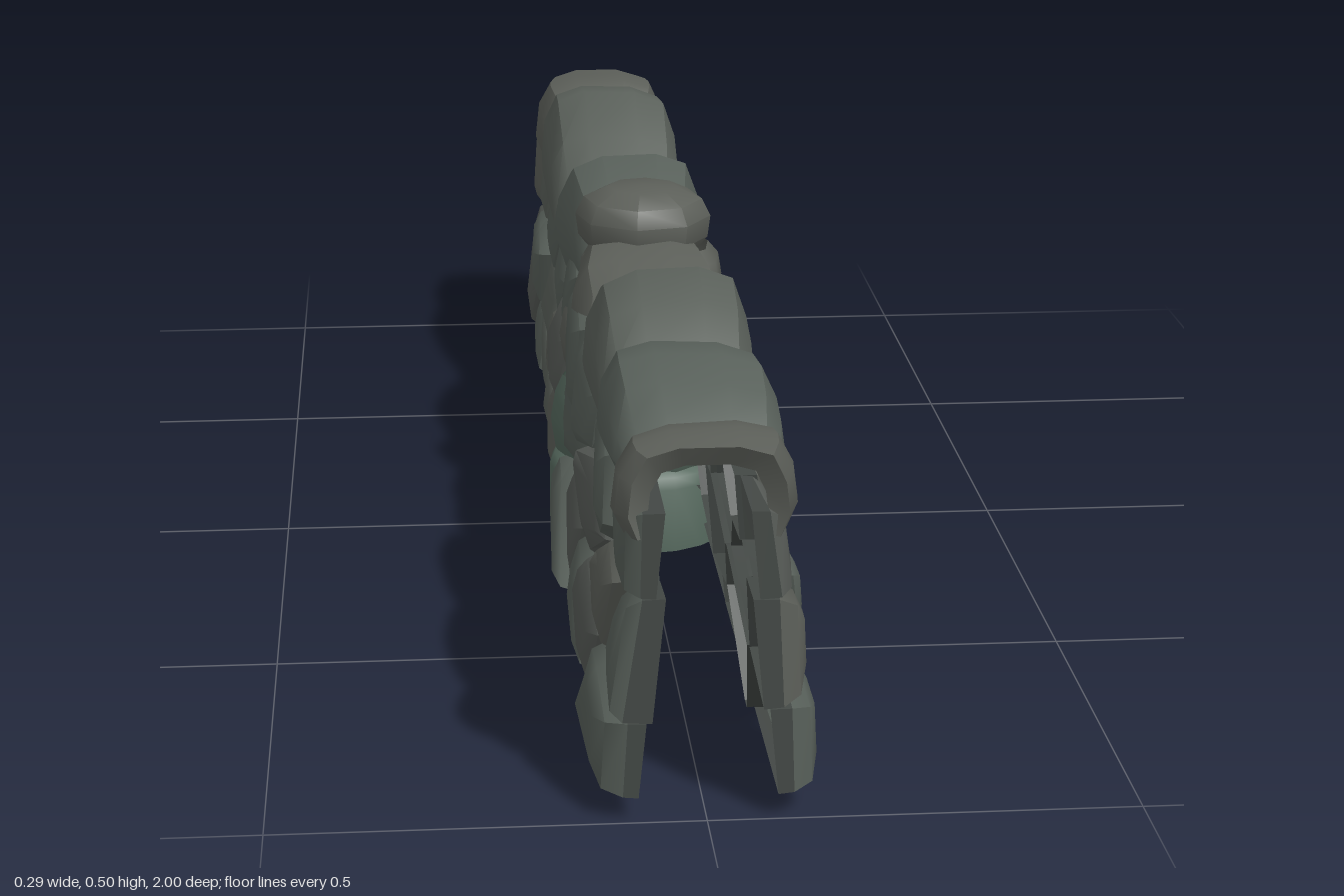
import * as THREE from 'three';
import { mergeVertices, toCreasedNormals } from 'three/addons/utils/BufferGeometryUtils.js';

const shades = [0x5a605a, 0x575f59, 0x5c5f59, 0x575b57, 0x59615b].map(
  color => new THREE.MeshStandardMaterial({ color, side: THREE.DoubleSide }));
const greenStone = new THREE.MeshStandardMaterial({ color: 0x55685d, side: THREE.DoubleSide });
const jointMaterial = new THREE.MeshStandardMaterial({ color: 0x434845, side: THREE.DoubleSide });

let seed = 7;
const rand = () => (seed = (seed * 16807) % 2147483647) / 2147483647;
const lerp = THREE.MathUtils.lerp;

// Skin a list of cross-sections, each an equal-length list of [x, y, z]
function skin(rows, closed, crease) {
  const pos = [], n = rows[0].length;
  for (let i = 0; i < rows.length - 1; i++) {
    for (let j = 0; j < (closed ? n : n - 1); j++) {
      const k = (j + 1) % n;
      const a = rows[i][j], b = rows[i][k], c = rows[i + 1][k], d = rows[i + 1][j];
      pos.push(...a, ...b, ...c, ...a, ...c, ...d);
    }
  }
  const g = new THREE.BufferGeometry();
  g.setAttribute('position', new THREE.Float32BufferAttribute(pos, 3));
  return toCreasedNormals(mergeVertices(g, 1e-5), crease);
}

function addMesh(group, name, geometry, material) {
  const mesh = new THREE.Mesh(geometry, material);
  mesh.name = name;
  group.add(mesh);
}

// Keep the part of a polygon where a*z + b*y <= c
function clip(poly, a, b, c) {
  const out = [];
  poly.forEach((p, i) => {
    const q = poly[(i + 1) % poly.length];
    const dp = a * p[0] + b * p[1] - c, dq = a * q[0] + b * q[1] - c;
    if (dp <= 0) out.push(p);
    if (dp * dq < 0) {
      const t = dp / (dp - dq);
      out.push([lerp(p[0], q[0], t), lerp(p[1], q[1], t)]);
    }
  });
  return out;
}

// Stone centres (z, y) for each face of the wall
const faces = {
  1: [[.95, .33], [.96, .2], [.9, .09], [.79, .34], [.83, .22], [.74, .13], [.62, .29], [.5, .17],
    [.56, .07], [.44, .31], [.33, .18], [.3, .29], [.25, .07], [.17, .16], [.16, .28], [-.16, .33],
    [-.27, .27], [-.4, .27], [-.15, .2], [-.3, .18], [-.2, .11], [-.24, .06], [-.36, .11], [-.56, .33],
    [-.6, .2], [-.45, .19], [-.5, .13], [-.45, .06], [-.62, .07], [-.73, .17], [-.8, .3], [-.82, .12],
    [-.78, .06], [-.95, .19], [-.95, .08], [-.94, .33]],
  [-1]: [[-.93, .32], [-.77, .32], [-.53, .3], [-.9, .13], [-.73, .19], [-.7, .07], [-.5, .17], [-.53, .08],
    [-.33, .27], [-.33, .15], [-.33, .06], [-.17, .23], [-.17, .1], [-.14, .33], [.13, .21], [.2, .06],
    [.17, .31], [.33, .12], [.5, .09], [.4, .31], [.5, .21], [.7, .3], [.67, .12], [.83, .22],
    [.87, .08], [.97, .2], [.93, .33]],
};

// Cell around one centre; heights are stretched so the stones lie flat and wide
function stoneOutline(sites, site, side) {
  const k = 3.4;
  let poly = [[-1, .03], [1, .03], [1, .37], [-1, .37]];
  for (const s of sites) {
    if (s === site) continue;
    const a = s[0] - site[0], b = (s[1] - site[1]) * k;
    poly = clip(poly, a, b, (a * (s[0] + site[0]) + b * (s[1] + site[1])) / 2);
  }
  // the left face stops at the pillar
  if (side > 0) poly = clip(poly, -Math.sign(site[0]), 0, -.09);
  // drop nearly coincident corners
  return poly.filter((p, i) => {
    const q = poly[(i + 1) % poly.length];
    return Math.hypot(p[0] - q[0], p[1] - q[1]) > .008;
  });
}

// Bulging stone shell on the inward-leaning wall plane, its edges turned deep into the wall
function addStone(group, poly, side) {
  const n = poly.length;
  const cz = poly.reduce((s, p) => s + p[0], 0) / n, cy = poly.reduce((s, p) => s + p[1], 0) / n;
  const bulge = .022 + .02 * rand(), tiltZ = (rand() - .5) * .14, tiltY = (rand() - .5) * .2;
  const depth = .014 + .014 * rand();
  const ring = (inset, out) => poly.map(([z, y]) => {
    const d = Math.hypot(z - cz, y - cy), f = 1 - Math.min(inset / d, inset > .03 ? .6 : .25);
    const zz = cz + (z - cz) * f, yy = cy + (y - cy) * f;
    const lean = .098 - .1 * (yy - .03);
    const tilt = out > 0 ? (zz - cz) * tiltZ + (yy - cy) * tiltY : 0;
    return [side * (lean + out + tilt), yy, zz];
  });
  const orient = rows => side > 0 ? rows : rows.map(r => r.slice().reverse());
  const rim = ring(.002, bulge * .1), shoulder = ring(.016, bulge * .72), face = ring(.055, bulge);
  const mid = face.reduce((s, p) => s.map((v, i) => v + p[i] / n), [0, 0, 0]);
  addMesh(group, 'stoneJoint', skin(orient([ring(0, -depth), rim]), true, .7), jointMaterial);
  addMesh(group, 'sideStone', skin(orient([rim, shoulder, face, face.map(() => mid)]), true, .95),
    shades[Math.floor(rand() * shades.length)]);
}

// Coping stones: start z, end z, underside at start and end, five crest heights
const copings = [
  [1, .88, .34, .33, [.445, .448, .448, .445, .435]],
  [.89, .61, .37, .33, [.44, .462, .476, .47, .445]],
  [.62, .27, .34, .31, [.435, .475, .495, .465, .39]],
  [.28, 0, .28, .33, [.37, .4, .422, .432, .43]],
  [0, -.45, .35, .29, [.43, .455, .48, .445, .385]],
  [-.44, -.84, .29, .33, [.38, .435, .483, .47, .445]],
  [-.83, -1, .31, .33, [.445, .45, .45, .445, .442]],
];

// Arched section, from one side over the crest to the other; slimmer beside the pillar
function arch(z, base, top, width, skew) {
  const h = top - base, w = width * (Math.abs(z) < .13 ? .9 : 1);
  return [[-.9, 0], [-1.02, .25], [-.97, .62], [-.78, .9], [-.38, 1], [.38, 1], [.8, .9], [.97, .6], [1.02, .25], [.9, 0]]
    .map(([x, y]) => [x * w, base + y * h, z + skew * x]);
}

function addCoping(group, [z0, z1, base0, base1, crest], index) {
  const skew = index % 2 ? .015 : -.012;
  const rows = crest.map((top, i) => {
    const t = [.06, .25, .5, .75, .94][i];
    const openEnd = (z0 === 1 && i === 0) || (z1 === -1 && i === 4);
    const z = openEnd ? Math.sign(z0 + z1) : lerp(z0, z1, t);
    const width = openEnd ? .088 : [.095, .101, .104, .101, .095][i];
    return arch(z, lerp(base0, base1, t), top, width, openEnd ? 0 : skew);
  });
  // inner ends run on into the joint, open ends curl inwards
  if (z0 === 1) rows.unshift(arch(.985, base0, .42, .066, 0));
  else rows.unshift(arch(z0 + .02, base0, crest[0] - .03, .084, skew));
  if (z1 === -1) rows.push(arch(-.985, base1, .42, .066, 0));
  else rows.push(arch(z1 - .02, base1, crest[4] - .03, .084, skew));
  addMesh(group, 'copingStone', skin(rows, false, .65), shades[[2, 4, 0][index % 3]]);
}

function addPillar(group) {
  // foot ring
  const foot = new THREE.LatheGeometry(
    [[.133, 0], [.133, .09], [.126, .105], [.108, .115]].map(p => new THREE.Vector2(...p)), 20);
  foot.scale(.97, 1, 1.04);
  addMesh(group, 'pillarFoot', toCreasedNormals(foot, .8), greenStone);

  const add = (name, profile, sides, turn, shift, material) => {
    const g = new THREE.LatheGeometry(profile.map(p => new THREE.Vector2(...p)), sides, turn);
    const p = g.attributes.position;
    // slight sag so the courses are not perfectly level
    for (let i = 0; i < p.count; i++) p.setY(i, p.getY(i) + .05 * Math.sin(turn * 5) * p.getX(i));
    g.translate(shift, 0, 0);
    addMesh(group, name, toCreasedNormals(g, .8), material);
  };
  // courses: bottom, top, outer radius, neck radius, shift towards the left face
  const courses = [[.10, .225, .132, .115, .005], [.215, .325, .124, .104, .008], [.315, .41, .102, .082, .014]];
  courses.forEach(([y0, y1, r, neck, shift], i) => {
    const h = y1 - y0;
    add('pillarStone', [[neck, y0], [r * .95, y0 + h * .15], [r, y0 + h * .5], [r * .95, y0 + h * .82], [neck, y1]],
      10, .3 + i * .4, shift, i === 0 ? greenStone : shades[2]);
  });
  add('pillarCap', [[.07, .395], [.09, .42], [.094, .45], [.082, .474], [.048, .49], [0, .492]], 8, .63, .003, shades[2]);
}

export function createModel() {
  const model = new THREE.Group();
  model.name = 'dryStoneWall';
  for (const side of [1, -1]) {
    const group = new THREE.Group();
    group.name = side > 0 ? 'leftFace' : 'rightFace';
    const sites = faces[side];
    for (const site of sites) {
      const outline = stoneOutline(sites, site, side);
      if (outline.length > 2) addStone(group, outline, side);
    }
    model.add(group);
  }
  const coping = new THREE.Group();
  coping.name = 'coping';
  copings.forEach((c, i) => addCoping(coping, c, i));
  const pillar = new THREE.Group();
  pillar.name = 'pillar';
  addPillar(pillar);
  model.add(coping, pillar);
  return model;
}
